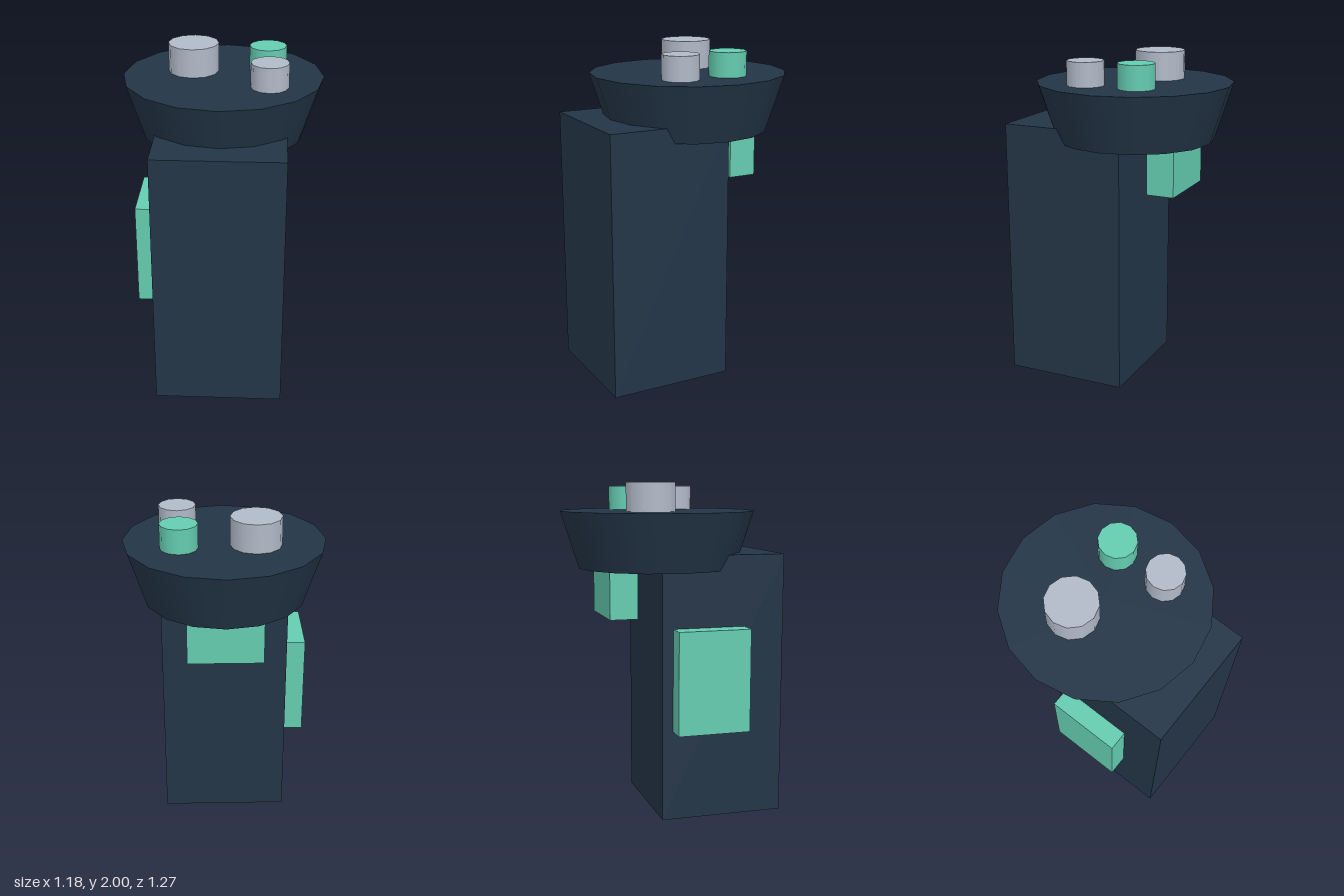
import * as THREE from 'three';

const flat = (name, color) => {
  const m = new THREE.MeshStandardMaterial({ color });
  m.name = name;
  return m;
};

export function createModel() {
  const navy = flat('navy', 0x233547);
  const mint = flat('mint', 0x64ccaf);
  const silver = flat('silver', 0xb1bac8);
  const model = new THREE.Group();
  model.name = 'pedestalConsole';

  const add = (name, geometry, material) => {
    const mesh = new THREE.Mesh(geometry, material);
    mesh.name = name;
    model.add(mesh);
  };

  // Box given by its lower and upper corners
  const box = (name, [x0, y0, z0], [x1, y1, z1], material) =>
    add(name, new THREE.BoxGeometry(x1 - x0, y1 - y0, z1 - z0)
      .translate((x0 + x1) / 2, (y0 + y1) / 2, (z0 + z1) / 2), material);

  // Upright tapered drum between two heights
  const drum = (name, x, z, y0, y1, rBottom, rTop, sides, material) =>
    add(name, new THREE.CylinderGeometry(rTop, rBottom, y1 - y0, sides)
      .translate(x, (y0 + y1) / 2, z), material);

  // Column and flared head
  box('column', [-0.378, 0, -0.115], [0.378, 1.58, 0.635], navy);
  drum('flaredHead', 0, -0.045, 1.487, 1.83, 0.48, 0.59, 16, navy);

  // Panels on the side of the column and under the head
  box('sidePanel', [-0.495, 0.54, -0.05], [-0.37, 1.155, 0.39], mint);
  box('rearBlock', [-0.223, 1.2, -0.39], [0.223, 1.5, -0.22], mint);

  // Knobs on top of the head
  drum('largeKnob', -0.18, -0.13, 1.82, 2.0, 0.15, 0.15, 12, silver);
  drum('smallKnob', 0.273, 0.146, 1.82, 1.975, 0.11, 0.11, 12, silver);
  drum('greenKnob', 0.26, -0.17, 1.82, 1.975, 0.11, 0.11, 12, mint);

  return model;
}
